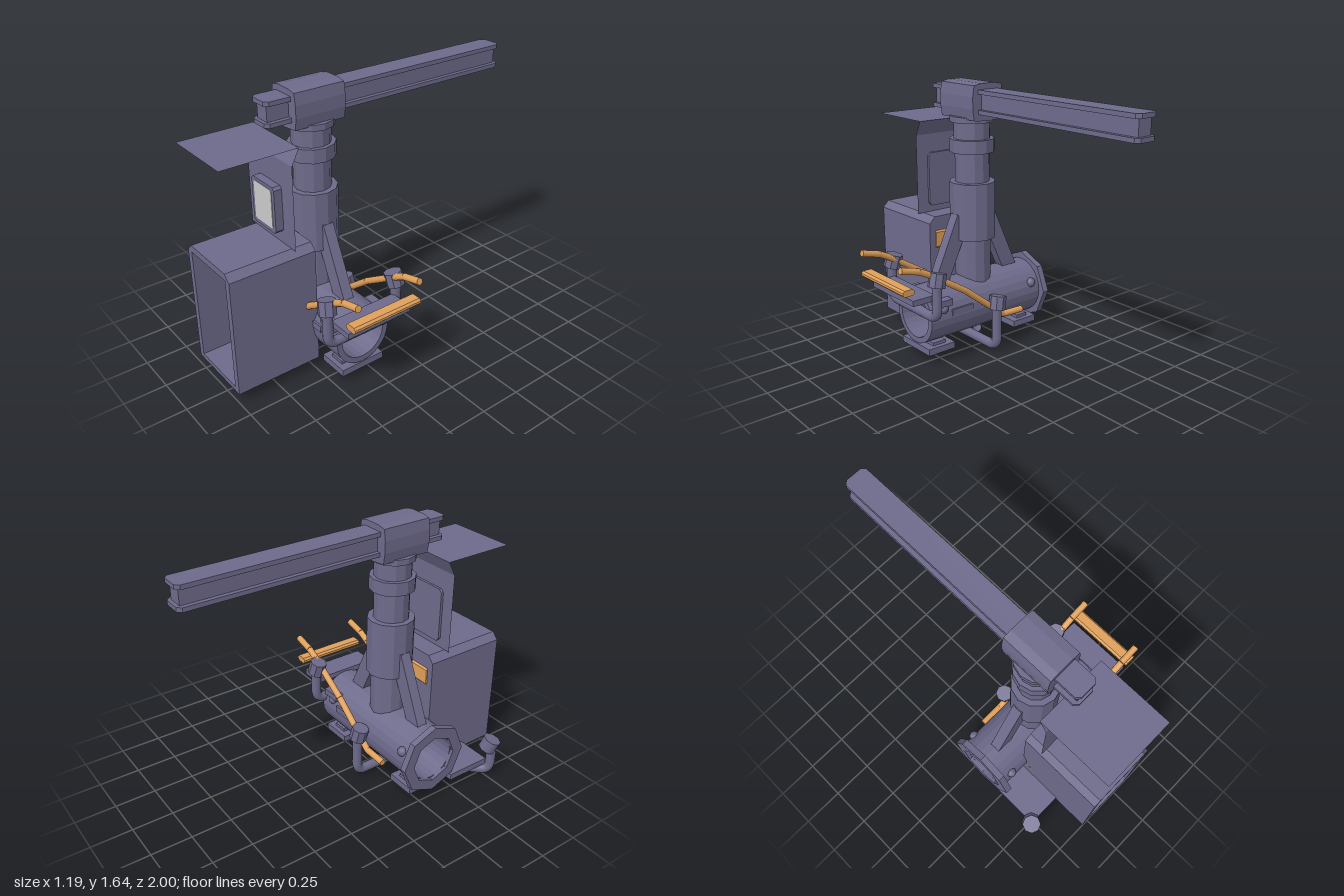
import * as THREE from 'three';

const D = THREE.DoubleSide;
const V = (x, y, z) => new THREE.Vector3(x, y, z);

export function createModel() {
  const slate = new THREE.MeshStandardMaterial({ color: 0x6e6b8c, side: D });
  slate.name = 'slate paint';
  const orange = new THREE.MeshStandardMaterial({ color: 0xe0a05a });
  orange.name = 'orange paint';
  const pane = new THREE.MeshStandardMaterial({ color: 0xcccccc });
  pane.name = 'pale glass';

  const model = new THREE.Group();
  model.name = 'craneCabin';
  const add = (name, geo, mat = slate) => {
    const m = new THREE.Mesh(geo, mat);
    m.name = name;
    model.add(m);
    return m;
  };
  // Box given by its limits on each axis
  const box = (name, x0, x1, y0, y1, z0, z1, mat) =>
    add(name, new THREE.BoxGeometry(x1 - x0, y1 - y0, z1 - z0), mat)
      .position.set((x0 + x1) / 2, (y0 + y1) / 2, (z0 + z1) / 2);
  const facet = (g) => {
    const f = g.toNonIndexed();
    f.computeVertexNormals();
    return f;
  };
  const shapeOf = (pts) => new THREE.Shape(pts.map((p) => new THREE.Vector2(p[0], p[1])));
  const extrude = (shape, depth) => new THREE.ExtrudeGeometry(shape, { depth, bevelEnabled: false });
  // Rectangle with cut corners
  const cutRect = (x0, x1, y0, y1, c) => shapeOf([
    [x0 + c, y0], [x1 - c, y0], [x1, y0 + c], [x1, y1 - c],
    [x1 - c, y1], [x0 + c, y1], [x0, y1 - c], [x0, y0 + c]]);
  const polygon = (n, r) => Array.from({ length: n }, (_, i) =>
    [r * Math.cos(i / n * Math.PI * 2), r * Math.sin(i / n * Math.PI * 2)]);
  // Hollow ring along x
  const ring = (name, n, R, r, x0, x1) => {
    const s = shapeOf(polygon(n, R));
    s.holes.push(shapeOf(polygon(n, r)));
    add(name, extrude(s, x1 - x0).rotateY(Math.PI / 2)).position.set(x0, 0.29, 0.33);
  };
  // Closed rod between two points
  const rod = (name, a, b, r, mat, sides = 10) => {
    const d = b.clone().sub(a);
    const m = add(name, new THREE.CylinderGeometry(r, r, d.length(), sides), mat);
    m.position.copy(a).add(b).multiplyScalar(0.5);
    m.quaternion.setFromUnitVectors(V(0, 1, 0), d.normalize());
    return m;
  };
  // Bent pipe with rounded corners
  const pipe = (name, pts, r, bend = 0.06) => {
    const path = new THREE.CurvePath();
    let last = pts[0];
    for (let i = 1; i < pts.length - 1; i++) {
      const p = pts[i];
      const a = p.clone().add(pts[i - 1].clone().sub(p).setLength(bend));
      const b = p.clone().add(pts[i + 1].clone().sub(p).setLength(bend));
      path.add(new THREE.LineCurve3(last, a));
      path.add(new THREE.QuadraticBezierCurve3(a, p, b));
      last = b;
    }
    path.add(new THREE.LineCurve3(last, pts[pts.length - 1]));
    add(name, new THREE.TubeGeometry(path, 48, r, 10, false));
  };
  const clamp = (name, x, y, z, rx, rz) => {
    const m = add(name, facet(new THREE.CylinderGeometry(0.052, 0.052, 0.085, 8)));
    m.position.set(x, y, z);
    m.rotation.set(rx, 0, rz);
  };

  // Horizontal drum with end flange, pins and feet
  ring('drum', 24, 0.175, 0.14, -0.5, 0.365);
  ring('drumFlange', 8, 0.22, 0.15, -0.52, -0.48);
  for (const x of [-0.42, 0.27]) for (const z of [0.17, 0.49]) {
    add('drumPin', new THREE.SphereGeometry(0.03, 10, 8)).position.set(x, 0.355, z);
  }
  for (const [a, b] of [[0.175, 0.365], [-0.48, -0.3]]) {
    box('drumFoot', a, b, 0.07, 0.11, 0.19, 0.47);
    box('footPad', a + 0.05, b - 0.05, 0.11, 0.13, 0.22, 0.44);
  }
  box('sidePlate', -0.52, -0.09, 0.07, 0.11, 0.48, 0.77);

  // Telescopic mast
  for (const [r, y0, y1] of [[0.11, 0.4, 0.7], [0.14, 0.7, 1.05], [0.105, 1.05, 1.23],
    [0.135, 1.23, 1.31], [0.11, 1.31, 1.41], [0.132, 1.41, 1.445]]) {
    add('mastSection', facet(new THREE.CylinderGeometry(r, r, y1 - y0, 12)))
      .position.set(-0.08, (y0 + y1) / 2, 0.33);
  }
  // Sloping braces on both sides of the mast
  for (const s of [1, -1]) {
    const brace = shapeOf([[0.1, 0.86], [0.14, 0.86], [0.33, 0.44], [0.22, 0.44], [0.1, 0.7]]
      .map(([x, y]) => [x * s - 0.08, y]));
    add('mastBrace', extrude(brace, 0.065)).position.z = 0.298;
  }

  // Sleeve and I-beam jib
  const sleeve = shapeOf([[-0.18, 1.435], [-0.08, 1.425], [0.02, 1.435], [0.03, 1.5], [0.03, 1.57],
    [0.02, 1.635], [-0.03, 1.645], [-0.13, 1.645], [-0.18, 1.635], [-0.19, 1.57], [-0.19, 1.5]]);
  add('beamSleeve', extrude(sleeve, 0.31)).position.z = 0.18;
  for (const y of [1.47, 1.585]) {
    const flange = cutRect(-0.15, -0.01, -1, 0.64, 0.022);
    add('beamFlange', extrude(flange, 0.025).rotateX(Math.PI / 2)).position.y = y + 0.025;
  }
  box('beamWeb', -0.125, -0.035, 1.49, 1.59, -0.98, 0.62);

  // Open-fronted cabin
  const shell = shapeOf([[-0.3, 0.07], [0.14, 0.07], [0.14, 0.78], [0.1, 0.82], [-0.26, 0.82], [-0.3, 0.78]]);
  shell.holes.push(shapeOf([[-0.26, 0.1], [0.1, 0.1], [0.1, 0.78], [-0.26, 0.78]]));
  add('cabinShell', extrude(shell, 0.525)).position.z = 0.475;
  box('cabinBack', -0.26, 0.1, 0.1, 0.78, 0.475, 0.49);
  const pad = add('headrest', extrude(cutRect(-0.035, 0.035, -0.065, 0.065, 0.02), 0.36)
    .rotateY(Math.PI / 2), orange);
  pad.position.set(-0.26, 0.675, 0.5);

  // Upright sheet, sloped strip and roof sheet
  const sheet = (name, y0, z0, y1, z1) => {
    const g = new THREE.PlaneGeometry(0.44, Math.hypot(y1 - y0, z1 - z0));
    const m = add(name, g);
    m.position.set(-0.08, (y0 + y1) / 2, (z0 + z1) / 2);
    m.rotation.x = Math.atan2(z1 - z0, y1 - y0);
  };
  sheet('uprightPanel', 0.82, 0.597, 1.31, 0.597);
  sheet('slopedStrip', 1.31, 0.597, 1.4, 0.55);
  sheet('roofSheet', 1.4, 1, 1.4, 0.55);
  // Window
  add('windowBackFrame', extrude(cutRect(-0.22, 0.06, 0.86, 1.195, 0.02), 0.016)).position.z = 0.58;
  add('windowFrame', extrude(cutRect(-0.19, 0.03, 0.89, 1.16, 0.015), 0.048)).position.z = 0.597;
  add('windowPane', extrude(cutRect(-0.165, 0.005, 0.915, 1.14, 0.008), 0.003), pane).position.z = 0.645;

  // Steps up the side
  box('lowerStep', 0.06, 0.215, 0.3, 0.34, 0.15, 0.51);
  box('middleStep', 0.215, 0.34, 0.37, 0.41, 0.15, 0.51);
  box('upperStep', 0.365, 0.515, 0.445, 0.48, 0.12, 0.54);
  const board = extrude(cutRect(0.51, 0.588, 0.52, 0.558, 0.012), 0.44);
  add('orangeStep', board, orange).position.z = 0.11;

  // Handrails on both sides
  const railPts = [[-0.3, 0.22], [-0.15, 0.225], [0.14, 0.45], [0.4, 0.61], [0.47, 0.645], [0.59, 0.675]];
  for (const z of [0.125, 0.53]) {
    for (let i = 0; i < railPts.length - 1; i++) {
      rod('handrail', V(...railPts[i], z), V(...railPts[i + 1], z), 0.02, orange);
    }
  }
  // U-shaped rail supports and their clamps
  for (const [name, x, y0, y1] of [['upperSupport', 0.365, 0.338, 0.57], ['lowerSupport', -0.08, 0.036, 0.3]]) {
    pipe(name, [V(x, y1, 0.1), V(x, y0, 0.1), V(x, y0, 0.565), V(x, y1, 0.565)], 0.03);
  }
  for (const [z, t] of [[0.105, 0.12], [0.56, -0.12]]) {
    clamp('upperClamp', 0.357, 0.572, z, t, 0.25);
    clamp('lowerClamp', -0.09, 0.322, z, t, 0.2);
  }

  // Diagonal outrigger pipe beside the cabin
  pipe('outriggerPipe', [V(-0.16, 0.036, 0.4), V(-0.545, 0.036, 0.785), V(-0.545, 0.22, 0.785)], 0.03);
  rod('outriggerCap', V(-0.525, 0.19, 0.765), V(-0.545, 0.262, 0.785), 0.055, slate, 8);

  return model;
}
